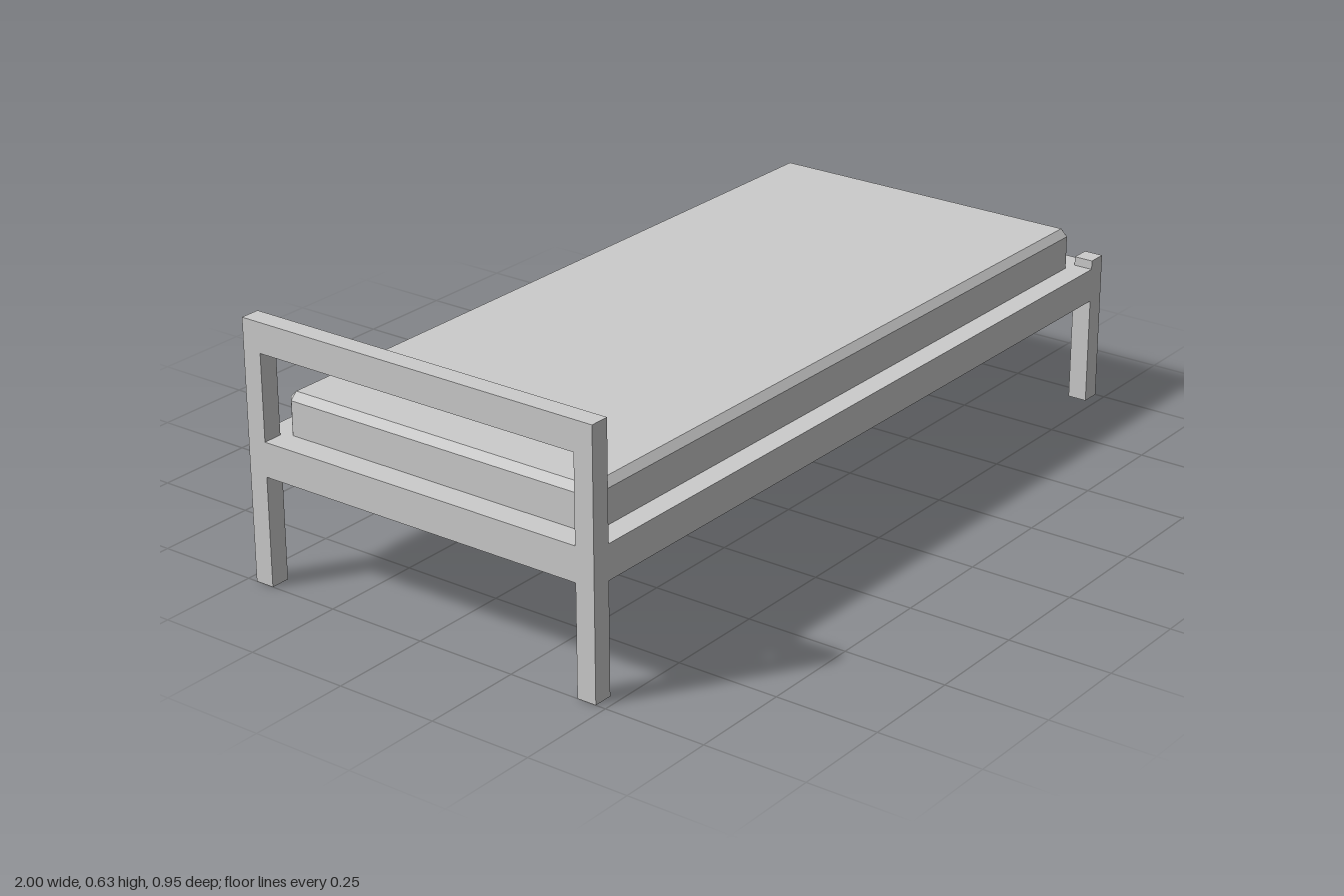
import * as THREE from 'three';
import { ConvexGeometry } from 'three/addons/geometries/ConvexGeometry.js';

const material = new THREE.MeshStandardMaterial({ color: 0xcccccc, flatShading: true });

// Box given by its minimum and maximum corners
function box(name, [x0, y0, z0], [x1, y1, z1]) {
  const mesh = new THREE.Mesh(new THREE.BoxGeometry(x1 - x0, y1 - y0, z1 - z0), material);
  mesh.name = name;
  mesh.position.set((x0 + x1) / 2, (y0 + y1) / 2, (z0 + z1) / 2);
  return mesh;
}

export function createModel() {
  const bed = new THREE.Group();
  bed.name = 'bed';

  const X = 1, Z = 0.475, post = 0.048;
  const xi = X - post, zi = Z - post; // inner faces of the posts
  const railBottom = 0.265, railTop = 0.348;
  const headTop = 0.627, footTop = 0.37;

  // Corner posts and side rails
  for (const s of [-1, 1]) {
    const z0 = s < 0 ? -Z : zi, z1 = s < 0 ? -zi : Z;
    bed.add(box('headPost', [-X, 0, z0], [-xi, headTop, z1]));
    bed.add(box('footPost', [xi, 0, z0], [X, footTop, z1]));
    bed.add(box('sideRail', [-xi, railBottom, z0], [xi, railTop, z1]));
  }

  // Cross rails between the posts
  bed.add(box('headRail', [-X, railBottom, -zi], [-xi, railTop, zi]));
  bed.add(box('footRail', [xi, railBottom, -zi], [X, railTop, zi]));
  bed.add(box('headboardBar', [-X, 0.555, -zi], [-xi, headTop, zi]));

  // Deck filling the frame
  bed.add(box('deck', [-xi, railBottom, -zi], [xi, railTop, zi]));

  // Mattress with chamfered corners and upper edges
  const mx = 0.938, mz = 0.42, c = 0.017, points = [];
  for (const sx of [-1, 1]) for (const sz of [-1, 1]) {
    for (const y of [railTop, 0.43]) {
      points.push(new THREE.Vector3(sx * mx, y, sz * (mz - c)));
      points.push(new THREE.Vector3(sx * (mx - c), y, sz * mz));
    }
    points.push(new THREE.Vector3(sx * (mx - c), 0.447, sz * (mz - c)));
  }
  const mattress = new THREE.Mesh(new ConvexGeometry(points), material);
  mattress.name = 'mattress';
  bed.add(mattress);

  return bed;
}
